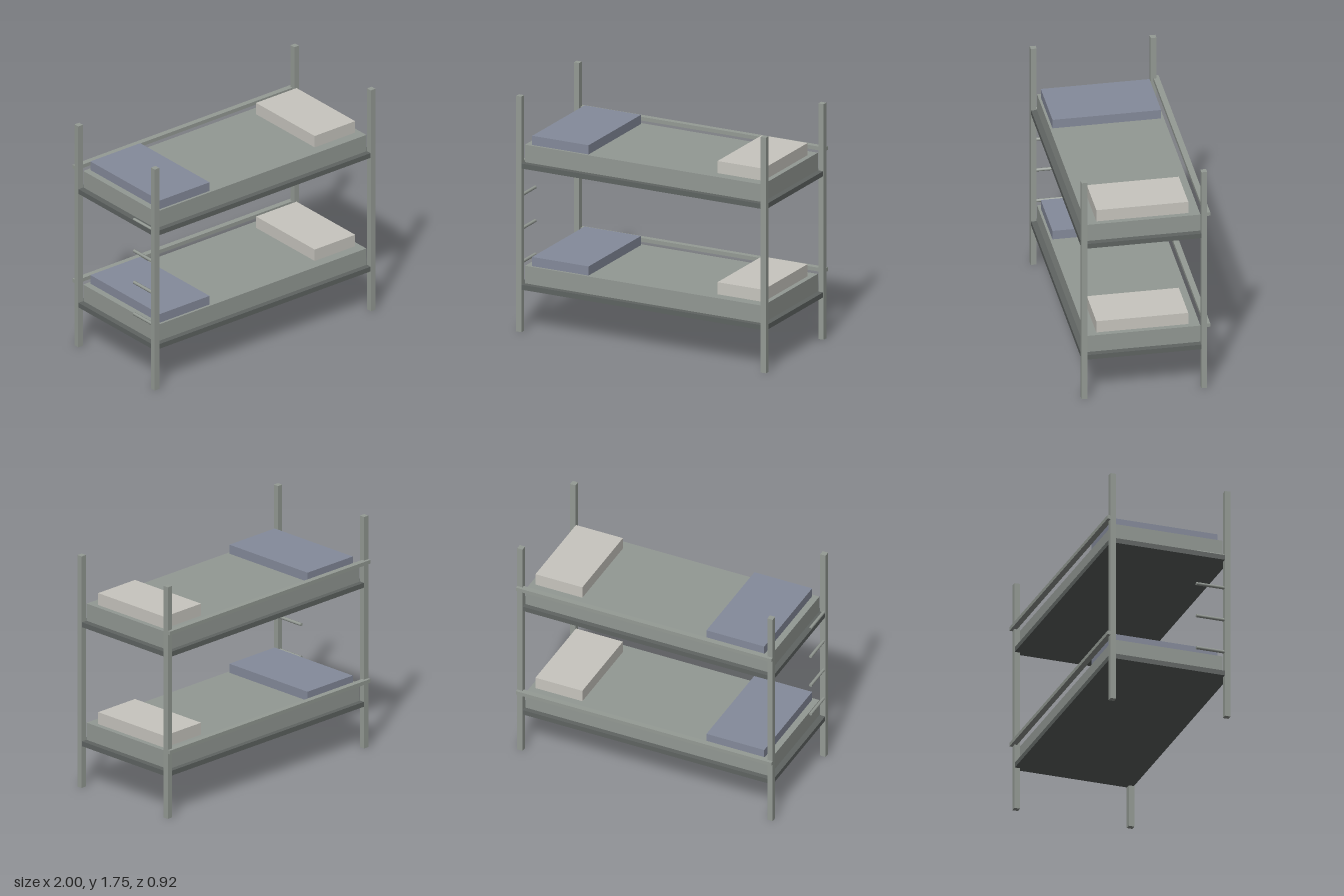
import * as THREE from 'three';

export function createModel() {
  const model = new THREE.Group();
  model.name = 'bunkBed';

  const material = (name, color) => {
    const m = new THREE.MeshStandardMaterial({ color });
    m.name = name;
    return m;
  };
  const metal = material('grey metal', 0x959b95);
  const darkMetal = material('dark frame', 0x5f6462);
  const fabric = material('grey mattress', 0x939994);
  const blue = material('blue blanket', 0x858b9b);
  const cream = material('cream pillow', 0xc8c6bf);

  // Box given by its extents on each axis
  const box = (parent, name, mat, [x0, x1], [y0, y1], [z0, z1]) => {
    const mesh = new THREE.Mesh(new THREE.BoxGeometry(x1 - x0, y1 - y0, z1 - z0), mat);
    mesh.position.set((x0 + x1) / 2, (y0 + y1) / 2, (z0 + z1) / 2);
    mesh.name = name;
    parent.add(mesh);
  };

  // Corner posts
  for (const x of [-0.979, 0.979]) {
    for (const z of [-0.419, 0.441]) {
      box(model, 'post', metal, [x - 0.021, x + 0.021], [0, 1.75], [z - 0.021, z + 0.021]);
    }
  }

  // Two bunks: base frame, mattress, folded blanket, pillow and back rail
  for (const y of [0.315, 1.215]) {
    const bunk = new THREE.Group();
    bunk.name = y < 1 ? 'lowerBunk' : 'upperBunk';
    bunk.position.y = y;
    box(bunk, 'frame', darkMetal, [-0.997, 0.997], [0, 0.037], [-0.437, 0.459]);
    box(bunk, 'mattress', fabric, [-0.953, 0.953], [0.037, 0.167], [-0.4, 0.418]);
    box(bunk, 'blanket', blue, [-0.905, -0.453], [0.167, 0.235], [-0.38, 0.4]);
    box(bunk, 'pillow', cream, [0.548, 0.915], [0.167, 0.257], [-0.32, 0.34]);
    box(bunk, 'backRail', metal, [-1, 1], [0.178, 0.206], [-0.462, -0.42]);
    model.add(bunk);
  }

  // Short ladder rungs reaching inward from the front post on the right end
  const rungGeometry = new THREE.CylinderGeometry(0.012, 0.012, 0.23, 8).rotateX(Math.PI / 2);
  for (let i = 0; i < 4; i++) {
    const rung = new THREE.Mesh(rungGeometry, metal);
    rung.name = 'rung';
    rung.position.set(-0.983, 0.504 + i * 0.249, 0.325);
    model.add(rung);
  }

  return model;
}
